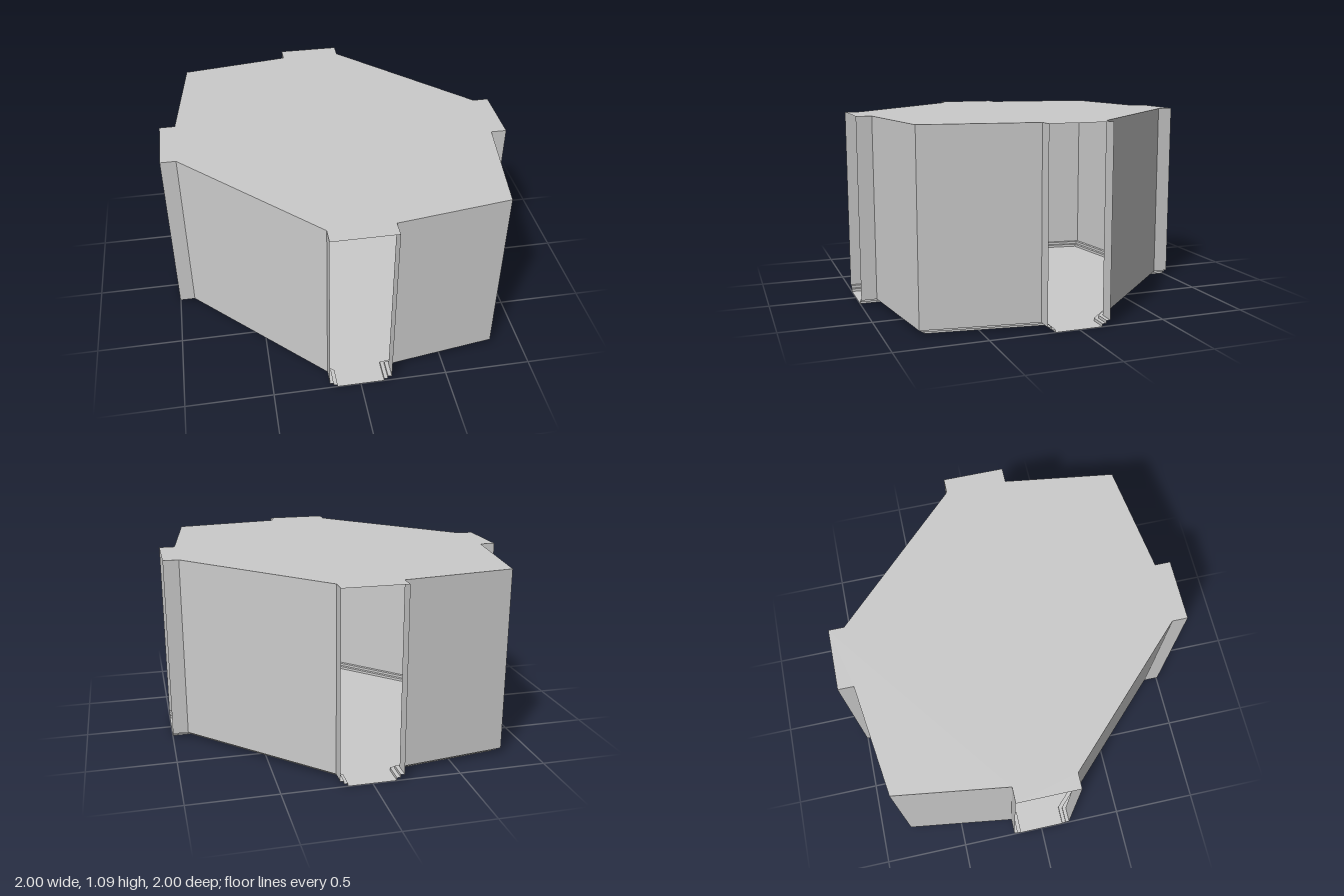
import * as THREE from 'three';

const HEIGHT = 1.09;
const STEP_IN = 0.022; // skirting step depth
const STEP_UP = 0.016; // skirting step height

// Wall paths in plan [x, z], each running from one door jamb to the next
const cornerWall = [[1, 0.18], [0.91, 0.18], [0.82, 0.82], [0.18, 0.91], [0.18, 1]];
const diagonalWall = [[-0.18, 1], [-0.18, 0.91], [-0.91, 0.18], [-1, 0.18]];
const turn = (path) => path.map(([x, z]) => [-x, -z]);

// Wall section from top to floor: [inset, height]
const section = [
  [0, HEIGHT],
  [0, 2 * STEP_UP],
  [STEP_IN, 2 * STEP_UP],
  [STEP_IN, STEP_UP],
  [2 * STEP_IN, STEP_UP],
  [2 * STEP_IN, 0],
];

// Shift an open path towards the room, with mitred corners
function inset(path, d) {
  const normals = path.slice(1).map(([x, z], i) => {
    const dx = x - path[i][0], dz = z - path[i][1];
    const len = Math.hypot(dx, dz);
    return [-dz / len, dx / len];
  });
  return path.map(([x, z], i) => {
    const a = normals[Math.max(i - 1, 0)];
    const b = normals[Math.min(i, normals.length - 1)];
    const k = d / (1 + a[0] * b[0] + a[1] * b[1]);
    return [x + (a[0] + b[0]) * k, z + (a[1] + b[1]) * k];
  });
}

// Sweep the stepped section along a wall path
function wallGeometry(path) {
  const rows = section.map(([d, y]) => inset(path, d).map(([x, z]) => [x, y, z]));
  const positions = [];
  for (let r = 0; r < rows.length - 1; r++) {
    for (let i = 0; i < path.length - 1; i++) {
      const a = rows[r][i], b = rows[r][i + 1];
      const c = rows[r + 1][i + 1], d = rows[r + 1][i];
      positions.push(...a, ...b, ...c, ...a, ...c, ...d);
    }
  }
  const geometry = new THREE.BufferGeometry();
  geometry.setAttribute('position', new THREE.Float32BufferAttribute(positions, 3));
  geometry.computeVertexNormals();
  return geometry;
}

// Flat sheet filling an outline in plan
function slabGeometry(outline) {
  const shape = new THREE.Shape(outline.map(([x, z]) => new THREE.Vector2(x, z)));
  return new THREE.ShapeGeometry(shape).rotateX(Math.PI / 2);
}

export function createModel() {
  const group = new THREE.Group();
  group.name = 'room';
  const material = new THREE.MeshStandardMaterial({
    color: 0xcccccc, flatShading: true, side: THREE.DoubleSide,
  });
  const add = (name, geometry) => {
    const mesh = new THREE.Mesh(geometry, material);
    mesh.name = name;
    group.add(mesh);
    return mesh;
  };

  // Walls with door jambs and stepped skirting
  const walls = {
    frontLeftWall: cornerWall,
    frontRightWall: diagonalWall,
    backRightWall: turn(cornerWall),
    backLeftWall: turn(diagonalWall),
  };
  for (const [name, path] of Object.entries(walls)) add(name, wallGeometry(path));

  // Ceiling and floor reach out to the four door openings
  const paths = Object.values(walls);
  add('ceiling', slabGeometry(paths.flat())).position.y = HEIGHT;
  add('floor', slabGeometry(paths.flatMap((path) => inset(path, 2 * STEP_IN))));

  return group;
}
